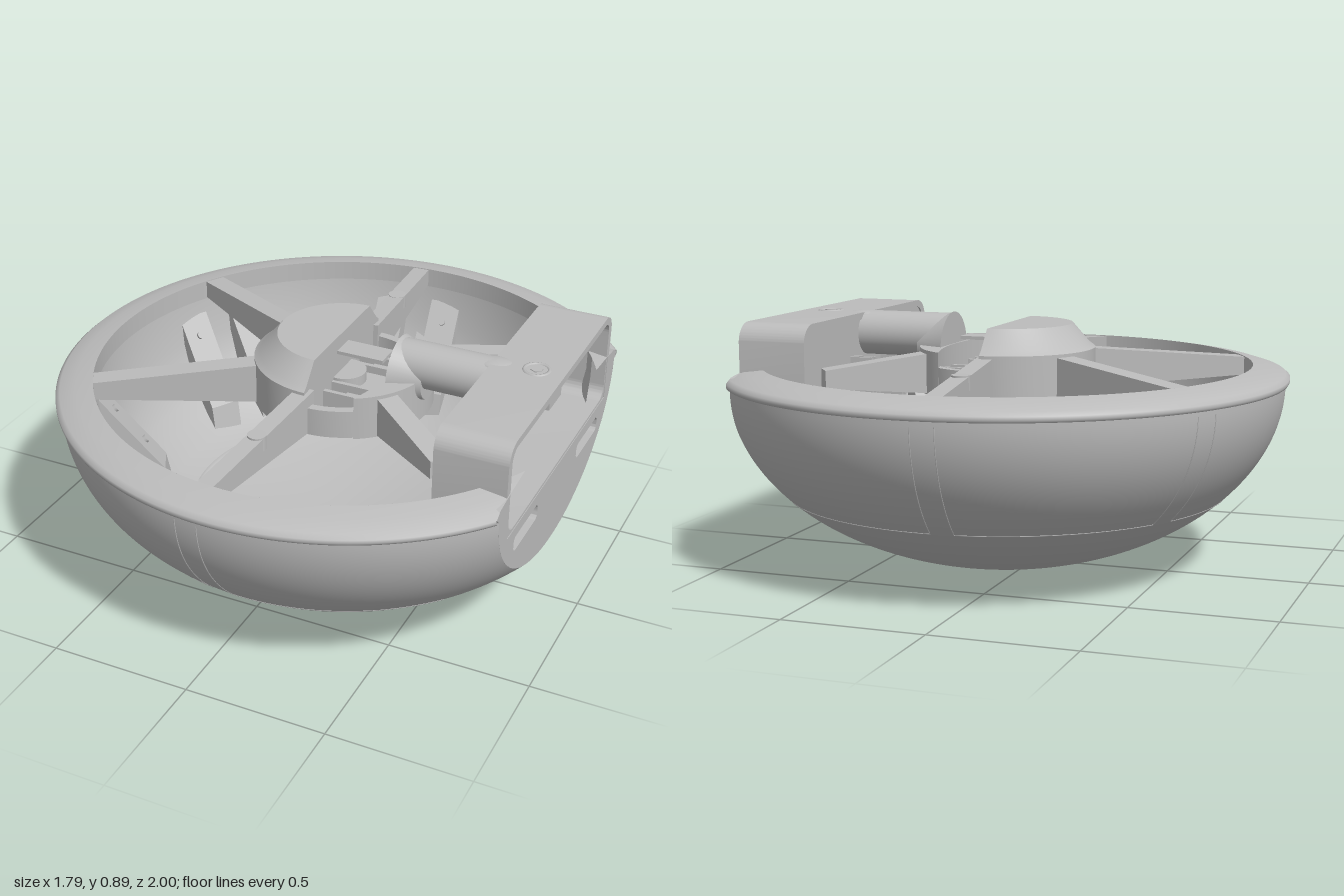
import * as THREE from 'three';
import { toCreasedNormals } from 'three/addons/utils/BufferGeometryUtils.js';

const CX = 0.1;                       // axis of the bowl
const HULL_R = 0.985, HULL_H = 0.66;  // half ellipsoid
const V = (x, y) => new THREE.Vector2(x, y);

export function createModel() {
  const model = new THREE.Group();
  const grey = new THREE.MeshStandardMaterial({ color: 0xbcbcbc, side: THREE.DoubleSide });
  grey.name = 'grey plastic';

  const add = (name, geometry, x = 0, y = 0, z = 0, parent = model) => {
    const mesh = new THREE.Mesh(geometry, grey);
    mesh.name = name;
    mesh.position.set(x, y, z);
    parent.add(mesh);
    return mesh;
  };
  const box = (name, w, h, d, x, y, z) => add(name, new THREE.BoxGeometry(w, h, d), x, y, z);

  // Lathe whose arcs stop at a flat plane, cut units to the +x side of the axis
  const cutLathe = (points, cut) => {
    const geo = new THREE.LatheGeometry(points, 160);
    const { position: p, normal: n, uv } = geo.attributes;
    for (let i = 0; i < p.count; i++) {
      const r = Math.hypot(p.getX(i), p.getZ(i));
      const start = r > cut ? Math.acos(cut / r) : 0;
      const phi = uv.getX(i) * 2 * Math.PI;
      const a = Math.PI / 2 + start + uv.getX(i) * 2 * (Math.PI - start);
      const out = n.getX(i) * Math.sin(phi) + n.getZ(i) * Math.cos(phi);
      p.setXYZ(i, r * Math.sin(a), p.getY(i), r * Math.cos(a));
      n.setXYZ(i, out * Math.sin(a), n.getY(i), out * Math.cos(a));
    }
    return geo;
  };
  const roundRect = (Type, x0, y0, x1, y1, r) => {
    const s = new Type();
    s.moveTo(x0 + r, y0);
    s.absarc(x1 - r, y0 + r, r, -Math.PI / 2, 0, false);
    s.absarc(x1 - r, y1 - r, r, 0, Math.PI / 2, false);
    s.absarc(x0 + r, y1 - r, r, Math.PI / 2, Math.PI, false);
    s.absarc(x0 + r, y0 + r, r, Math.PI, Math.PI * 1.5, false);
    return s;
  };
  // Section drawn in z and y, extruded along x
  const alongX = (name, shape, x0, x1) => {
    const geo = new THREE.ExtrudeGeometry(shape, { depth: x1 - x0, bevelEnabled: false, curveSegments: 12 });
    geo.rotateY(Math.PI / 2);
    return add(name, toCreasedNormals(geo, 0.5), x0, 0, 0);
  };
  // Section drawn along a radius, extruded sideways
  const radial = (name, pts, width, offset, parent) => {
    const geo = new THREE.ExtrudeGeometry(new THREE.Shape(pts), { depth: width, bevelEnabled: false });
    return add(name, geo, 0, 0, offset - width / 2, parent);
  };

  // Outer hull, with one row exactly where the flat end begins
  const angles = Array.from({ length: 61 }, (_, i) => (i / 60) * Math.PI / 2);
  angles.push(Math.asin(0.79 / HULL_R));
  angles.sort((a, b) => a - b);
  const hull = angles.map(t => V(HULL_R * Math.sin(t), HULL_H * (1 - Math.cos(t))));
  add('hull', cutLathe(hull, 0.79), CX);
  const rim = [V(0.985, 0.66), V(0.996, 0.662), V(1, 0.67), V(1, 0.682), V(0.985, 0.695), V(0.93, 0.712), V(0.87, 0.722)];
  add('rim', cutLathe(rim, 0.79), CX);

  // Inside of the bowl
  add('rimInnerWall', cutLathe([V(0.87, 0.722), V(0.87, 0.65)], 0.75), CX);
  const inner = [V(0.87, 0.65), V(0.85, 0.5), V(0.8, 0.38), V(0.75, 0.32), V(0.7, 0.27), V(0.62, 0.21), V(0.55, 0.185)];
  add('bowlInterior', cutLathe(inner, 0.75), CX);
  const floor = [V(0.55, 0.185), V(0.546, 0.175), V(0.42, 0.14), V(0.2, 0.1), V(0, 0.09)];
  add('bowlFloor', cutLathe(floor, 0.75), CX);

  // Flat end plate, notched for the housing and pierced by two slots
  const plate = new THREE.Shape();
  const faceHalf = Math.sqrt(HULL_R ** 2 - 0.79 ** 2);
  plate.moveTo(0.5, 0.71);
  plate.lineTo(0.58, 0.70);
  plate.lineTo(0.61, 0.68);
  const depth = HULL_H * Math.sqrt(1 - (0.79 / HULL_R) ** 2);
  for (let i = 0; i <= 40; i++) {
    const t = (i / 40) * Math.PI;
    plate.lineTo(faceHalf * Math.cos(t), HULL_H - depth * Math.sin(t));
  }
  plate.lineTo(-0.61, 0.68);
  plate.lineTo(-0.58, 0.70);
  plate.lineTo(-0.5, 0.71);
  plate.lineTo(-0.5, 0.545);
  plate.lineTo(0.5, 0.545);
  for (const s of [-1, 1]) {
    plate.holes.push(roundRect(THREE.Path, s * 0.315 - 0.115, 0.45, s * 0.315 + 0.115, 0.505, 0.02));
  }
  alongX('endPlate', plate, 0.85, 0.89);
  for (const s of [-1, 1]) box('slotBack', 0.01, 0.07, 0.25, 0.85, 0.478, s * 0.315);

  // Housing, open at the flat end
  const shell = roundRect(THREE.Shape, -0.52, 0.53, 0.52, 0.88, 0.07);
  shell.holes.push(roundRect(THREE.Path, -0.49, 0.555, 0.49, 0.855, 0.045));
  alongX('housingShell', shell, 0.64, 0.888);
  alongX('housingBack', roundRect(THREE.Shape, -0.5, 0.54, 0.5, 0.87, 0.05), 0.645, 0.67);
  box('housingLedge', 0.07, 0.015, 0.96, 0.705, 0.78, 0);
  box('housingTab', 0.19, 0.085, 0.12, 0.765, 0.815, 0);
  const screwRing = add('housingScrewRing', new THREE.TorusGeometry(0.042, 0.008, 8, 28), 0.79, 0.876, 0);
  screwRing.rotation.x = Math.PI / 2;
  add('housingScrew', new THREE.CylinderGeometry(0.022, 0.022, 0.008, 6), 0.79, 0.879, 0);
  for (const s of [-1, 1]) {
    for (const z of [0.115, 0.145]) box('housingFin', 0.09, 0.3, 0.012, 0.605, 0.58, s * z);
    box('housingFinBridge', 0.05, 0.04, 0.03, 0.62, 0.5, s * 0.13);
  }

  // Spokes, with mounting pads beside them on the bowl wall
  const spokes = [[38, [-1]], [95, [-1, 1]], [150, [-1, 1]], [210, [-1, 1]], [265, [-1, 1]], [322, [1]]];
  for (const [deg, sides] of spokes) {
    const arm = new THREE.Group();
    arm.name = 'spokeAssembly';
    arm.position.x = CX;
    arm.rotation.y = THREE.MathUtils.degToRad(deg);
    model.add(arm);
    const end = sides.length === 1 ? 0.665 : 0.88;
    const upright = deg === 95 || deg === 265;
    radial('spoke', [V(0.26, 0.62), V(end, 0.655), V(end, 0.718), V(0.26, 0.768)], upright ? 0.06 : 0.075, 0, arm);
    if (upright) add('spokeScrew', new THREE.CylinderGeometry(0.032, 0.032, 0.05, 24), 0.57, 0.722, 0, arm);
    for (const s of sides) {
      radial('mountingPad', [V(0.62, 0.21), V(0.7, 0.26), V(0.8, 0.37), V(0.85, 0.49), V(0.86, 0.6), V(0.64, 0.31)],
        0.115, s * 0.108, arm);
      for (const [r, y] of [[0.71, 0.402], [0.81, 0.534]]) {
        const screw = add('padScrew', new THREE.CylinderGeometry(0.014, 0.014, 0.02, 12), r, y, s * 0.108, arm);
        screw.rotation.z = 0.92;
      }
    }
  }

  // Hub: tray, solid half cap and low wall on the open half
  add('hubTray', new THREE.CylinderGeometry(0.3, 0.3, 0.025, 64), CX, 0.632, 0);
  const capProfile = [V(0.305, 0.62), V(0.305, 0.775), V(0.285, 0.79), V(0.225, 0.86), V(0, 0.86)];
  add('hubCap', toCreasedNormals(new THREE.LatheGeometry(capProfile, 40, Math.PI, Math.PI), 0.4), 0.09);
  const capFace = new THREE.Shape([...capProfile, ...capProfile.slice(0, 4).reverse().map(p => V(-p.x, p.y))]);
  add('hubCapFace', new THREE.ShapeGeometry(capFace).rotateY(Math.PI / 2), 0.09);
  const wall = [V(0.305, 0.62), V(0.305, 0.72), V(0.275, 0.72), V(0.275, 0.62)];
  add('hubWall', toCreasedNormals(new THREE.LatheGeometry(wall, 40, 0, Math.PI), 0.4), 0.09);

  // Crescent fairing that rises to the pipe
  const crescent = new THREE.Shape();
  crescent.absarc(0, 0, 0.31, -1.05, 1.05, false);
  crescent.quadraticCurveTo(0.2, 0.13, 0.2, 0);
  crescent.quadraticCurveTo(0.2, -0.13, 0.31 * Math.cos(1.05), -0.31 * Math.sin(1.05));
  const fairing = new THREE.ExtrudeGeometry(crescent, { depth: 0.155, bevelEnabled: false, curveSegments: 24 });
  add('fairing', toCreasedNormals(fairing.rotateX(-Math.PI / 2), 0.5), CX, 0.62, 0);
  const collar = add('pipeCollar', new THREE.CylinderGeometry(0.08, 0.125, 0.11, 40), 0.36, 0.765, 0);
  collar.rotation.z = -Math.PI / 2;
  const pipe = add('pipe', new THREE.CylinderGeometry(0.08, 0.08, 0.34, 40), 0.485, 0.805, 0);
  pipe.rotation.z = -Math.PI / 2;
  const pipeTip = add('pipeTip', new THREE.SphereGeometry(1, 32, 16), 0.65, 0.87, 0);
  pipeTip.scale.set(0.07, 0.015, 0.045);

  // Fittings in the open half of the hub
  add('hubPost', new THREE.CylinderGeometry(0.075, 0.075, 0.1, 40), CX, 0.67, 0);
  box('contactPlate', 0.18, 0.012, 0.09, 0.17, 0.803, 0);
  for (const z of [-0.15, -0.08, 0.08, 0.15]) box('hubSlat', 0.19, 0.07, 0.016, 0.185, 0.675, z);
  box('hubBlock', 0.12, 0.045, 0.3, 0.21, 0.66, 0);

  // Panel seams on the hull
  const seam = pts => add('panelSeam',
    new THREE.TubeGeometry(new THREE.CatmullRomCurve3(pts), 40, 0.002, 5), CX);
  const seamPoint = (deg, offset, y) => {
    const r = HULL_R * Math.sqrt(1 - ((HULL_H - y) / HULL_H) ** 2);
    const a = THREE.MathUtils.degToRad(deg) + Math.asin(offset / r);
    return new THREE.Vector3(r * Math.cos(a), y, -r * Math.sin(a));
  };
  spokes.forEach(([deg, sides], i) => {
    if (sides.length === 2) {
      for (const s of [-1, 1]) {
        seam(Array.from({ length: 11 }, (_, k) => seamPoint(deg, s * 0.04, 0.265 + k * 0.038)));
      }
    }
    if (i === spokes.length - 1) return;
    const next = spokes[i + 1][0];
    seam(Array.from({ length: 17 }, (_, k) =>
      seamPoint(deg + (next - deg) * k / 16, 0.04 - 0.08 * k / 16, 0.265)));
  });

  return model;
}
